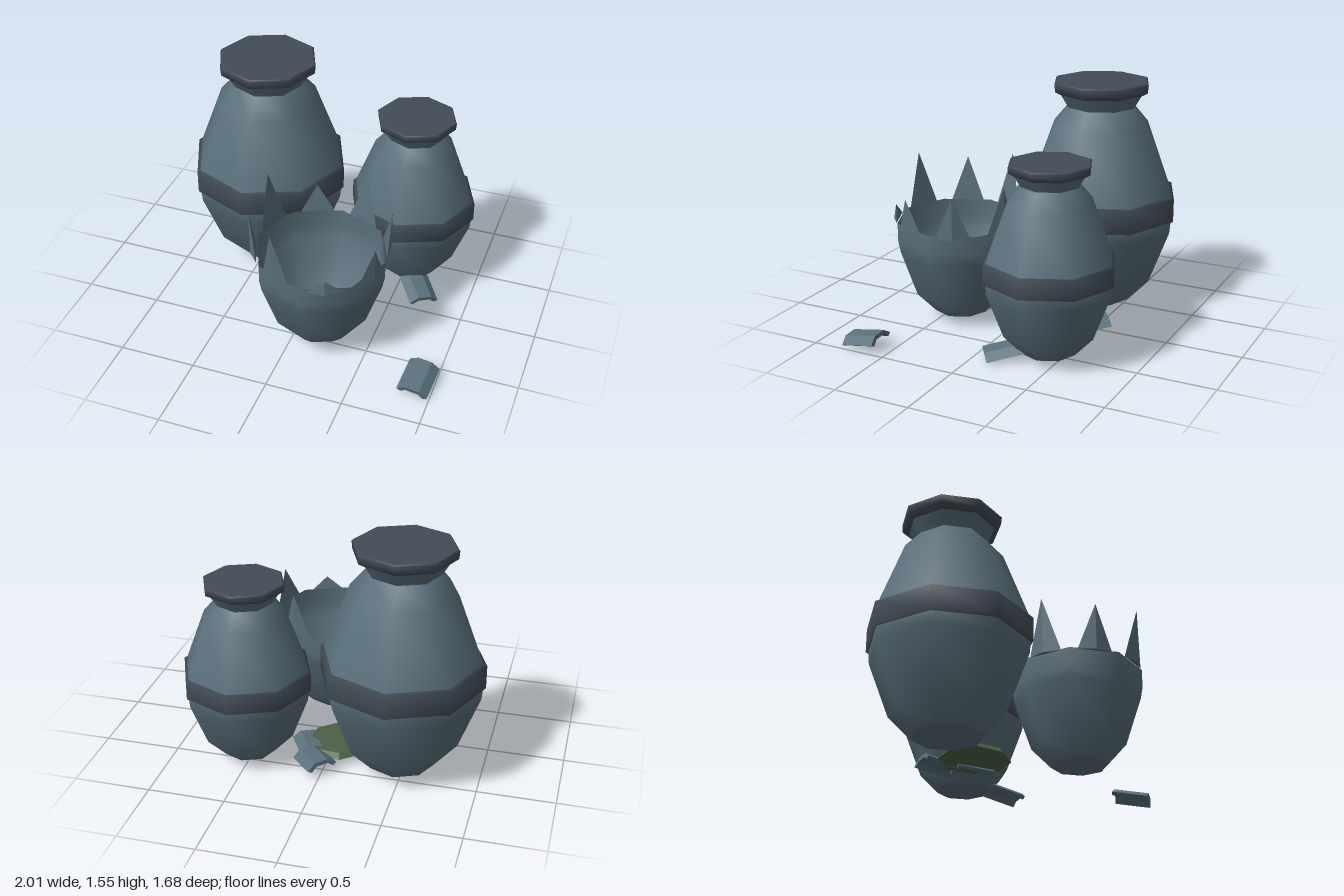
import * as THREE from 'three';

const mat = (name, color, side = THREE.FrontSide) => {
  const m = new THREE.MeshStandardMaterial({ color, side });
  m.name = name;
  return m;
};

export function createModel() {
  const model = new THREE.Group();
  model.name = 'potteryGroup';
  const clay = mat('blueGreyClay', 0x5a707c, THREE.DoubleSide);
  const dark = mat('darkGlaze', 0x434d57);
  const green = mat('mossGreen', 0x4c6146);

  const add = (parent, name, geometry, material) => {
    const m = new THREE.Mesh(geometry, material);
    m.name = name;
    parent.add(m);
    return m;
  };
  // Eight-sided turned form from [radius, height] pairs
  const turned = (pts) => new THREE.LatheGeometry(pts.map(([r, y]) => new THREE.Vector2(r, y)), 8);
  const flat = (geometry) => {
    const g = geometry.index ? geometry.toNonIndexed() : geometry;
    g.computeVertexNormals();
    return g;
  };

  // Sealed pots: the small one is the large one at 0.8 scale
  function pot(name, x, z, scale) {
    const g = new THREE.Group();
    g.name = name;
    add(g, 'body', turned([[0.22, 0], [0.37, 0.16], [0.505, 0.52], [0.515, 0.62], [0.51, 0.76], [0.34, 1.21], [0.23, 1.34]]), clay);
    const base = add(g, 'base', new THREE.CircleGeometry(0.22, 8), clay);
    base.rotation.x = Math.PI / 2;
    add(g, 'neck', turned([[0.23, 1.34], [0.285, 1.43]]), clay);
    add(g, 'band', turned([[0.49, 0.59], [0.53, 0.605], [0.53, 0.76], [0.49, 0.775]]), dark);
    add(g, 'rim', turned([[0.23, 1.425], [0.28, 1.425], [0.325, 1.45], [0.33, 1.5], [0.32, 1.51]]), dark);
    const lid = add(g, 'lid', new THREE.CircleGeometry(0.32, 8), dark);
    lid.rotation.x = -Math.PI / 2;
    lid.position.y = 1.51;
    g.position.set(x, 0.04, z);
    g.scale.setScalar(scale);
    model.add(g);
  }
  pot('largePot', -0.47, -0.32, 1);
  pot('smallPot', 0.52, -0.42, 0.8);

  // Broken pot, open at the top
  const broken = new THREE.Group();
  broken.name = 'brokenPot';
  broken.position.set(0.155, 0, 0.405);
  model.add(broken);
  add(broken, 'brokenBody', turned([[0.18, 0.04], [0.305, 0.17], [0.41, 0.48], [0.425, 0.56], [0.425, 0.68]]), clay);
  const floor = add(broken, 'brokenBase', new THREE.CircleGeometry(0.18, 8), clay);
  floor.rotation.x = Math.PI / 2;
  floor.position.y = 0.04;

  // Jagged teeth outside the broken rim, one per side, starting at the front and turning to +x
  const tips = [0.76, 0.89, 0.94, 0.98, 0.86, 1.04, 0.975, 1.03];
  tips.forEach((tip, i) => {
    const h = tip - 0.665;
    const geo = new THREE.ConeGeometry(0.13, h, 3, 1);
    geo.scale(1, 1, 0.19);
    geo.translate(0, h / 2, 0);
    const holder = new THREE.Group();
    holder.name = 'toothHolder';
    holder.rotation.y = Math.PI / 8 + i * Math.PI / 4;
    const tooth = add(holder, 'rimTooth', flat(geo), clay);
    tooth.position.set(0, 0.665, 0.42);
    tooth.rotation.x = 0.09;
    broken.add(holder);
  });

  // Fallen curved shards
  const arch = new THREE.Shape([
    [-0.1, -0.015], [-0.075, -0.03], [-0.04, 0], [0.04, 0], [0.075, -0.03], [0.1, -0.015], [0.045, 0.027], [-0.045, 0.027],
  ].map(([x, y]) => new THREE.Vector2(x, y)));
  const shardGeo = new THREE.ExtrudeGeometry(arch, { depth: 0.24, bevelEnabled: false });
  shardGeo.translate(0, 0, -0.12);
  [
    [0.9, 0.062, 0.685, 0.2, -0.08, -0.1],
    [0.66, 0.055, -0.17, 0.2, 0.6, -0.08],
    [0.14, 0.05, -0.28, 0.08, 0.5, 0.05],
    [0.06, 0.07, -0.49, 0.12, 0.7, -0.1],
  ].forEach(([x, y, z, rx, ry, rz]) => {
    const s = add(model, 'fallenShard', shardGeo, clay);
    s.position.set(x, y, z);
    s.rotation.set(rx, ry, rz, 'YXZ');
  });

  // Flat green piece lying between the pots
  const slab = add(model, 'greenSlab', flat(new THREE.CylinderGeometry(0.2, 0.23, 0.035, 8)), green);
  slab.position.set(-0.04, 0.065, -0.23);
  slab.rotation.set(0.03, 0.25, -0.05);
  return model;
}
